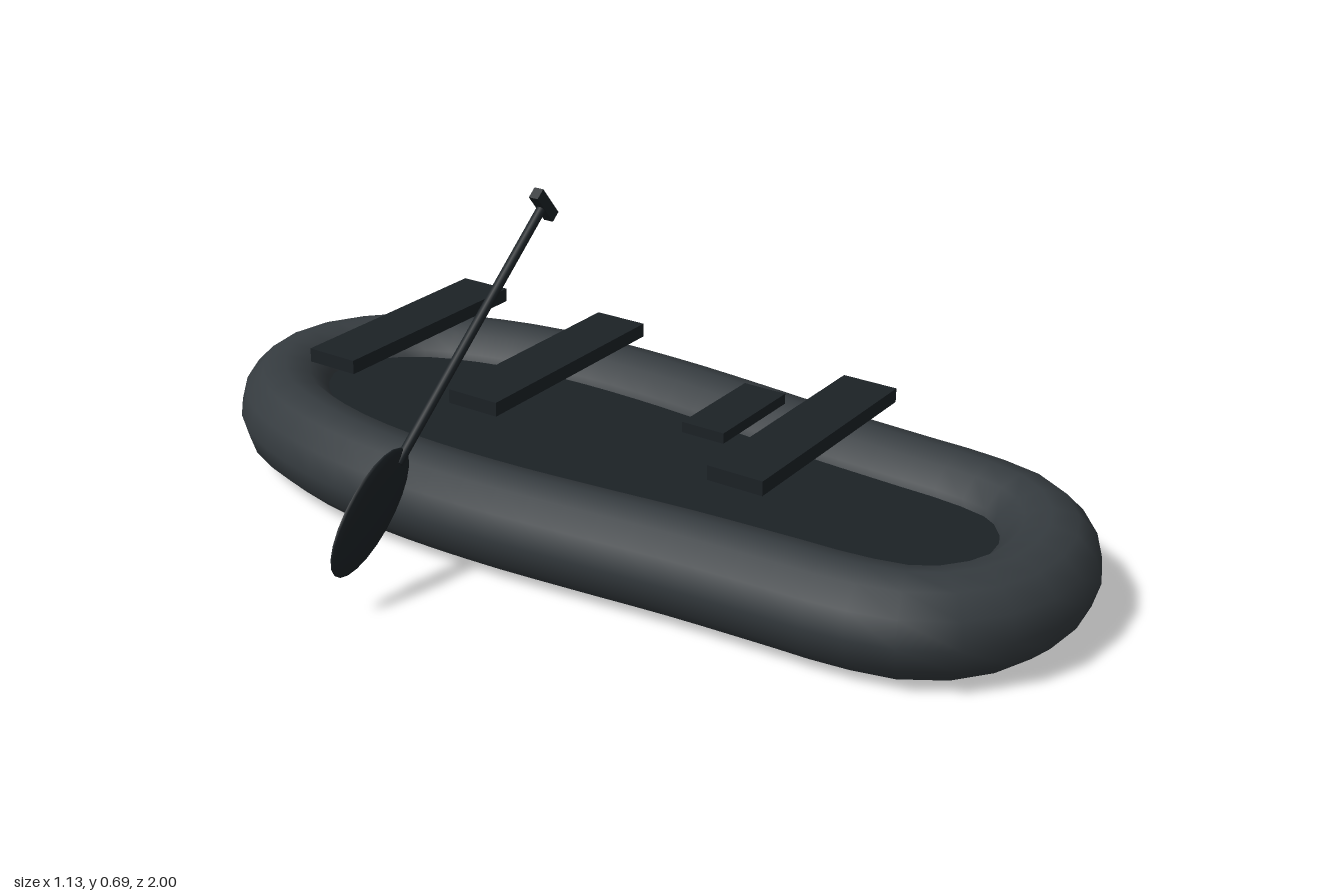
import * as THREE from 'three';

const tubeMat = new THREE.MeshStandardMaterial({ color: 0x353b3f });
const darkMat = new THREE.MeshStandardMaterial({ color: 0x1c2226 });
const floorMat = new THREE.MeshStandardMaterial({ color: 0x1c2226, side: THREE.DoubleSide });

const CX = 0.133; // hull centre line
const TUBE_R = 0.103;

// half of the tube's centre line, bow (-z) to stern (+z): [half width, z]
const HALF = [
  [0, -0.897], [0.075, -0.884], [0.15, -0.838], [0.232, -0.745], [0.293, -0.59], [0.322, -0.44],
  [0.331, -0.3], [0.326, -0.1], [0.308, 0.1], [0.287, 0.3], [0.274, 0.5], [0.264, 0.66],
  [0.235, 0.77], [0.18, 0.835], [0.095, 0.882], [0, 0.895],
];

function add(parent, name, geometry, material, x = 0, y = 0, z = 0) {
  const mesh = new THREE.Mesh(geometry, material);
  mesh.name = name;
  mesh.position.set(x, y, z);
  parent.add(mesh);
  return mesh;
}

export function createModel() {
  const raft = new THREE.Group();
  raft.name = 'inflatableRaft';

  // closed hull curve: one side, then its mirror image
  const mirrored = HALF.slice(1, -1).reverse().map(([w, z]) => [-w, z]);
  const points = [...HALF, ...mirrored].map(([w, z]) => new THREE.Vector3(w, 0, z));
  const curve = new THREE.CatmullRomCurve3(points, true);
  add(raft, 'hullTube', new THREE.TubeGeometry(curve, 56, TUBE_R, 12, true), tubeMat, CX, 0.105, 0);

  // floor sheet, its edge buried in the tube
  const outline = curve.getSpacedPoints(56).slice(0, -1).map(p => new THREE.Vector2(p.x, -p.z));
  const floor = new THREE.ShapeGeometry(new THREE.Shape(outline)).rotateX(-Math.PI / 2);
  add(raft, 'floor', floor, floorMat, CX, 0.142, 0);

  // bench planks and the small board
  for (const z of [-0.592, -0.215, 0.402]) {
    add(raft, 'bench', new THREE.BoxGeometry(0.525, 0.03, 0.12), darkMat, CX, 0.297, z);
  }
  add(raft, 'smallBoard', new THREE.BoxGeometry(0.235, 0.022, 0.095), darkMat, CX, 0.297, 0.24);

  // paddle, laid out along its own x axis from the blade's centre
  const paddle = new THREE.Group();
  paddle.name = 'paddle';
  paddle.position.set(-0.45, 0.185, -0.212);
  paddle.rotation.z = 0.69;
  raft.add(paddle);
  const blade = new THREE.SphereGeometry(1, 16, 12).rotateZ(Math.PI / 2).scale(0.141, 0.07, 0.01);
  add(paddle, 'blade', blade, darkMat);
  const shaft = new THREE.CylinderGeometry(0.01, 0.01, 0.62, 10).rotateZ(Math.PI / 2);
  add(paddle, 'shaft', shaft, darkMat, 0.42, 0, 0);
  add(paddle, 'grip', new THREE.BoxGeometry(0.025, 0.08, 0.022), darkMat, 0.73, 0, 0);

  return raft;
}
